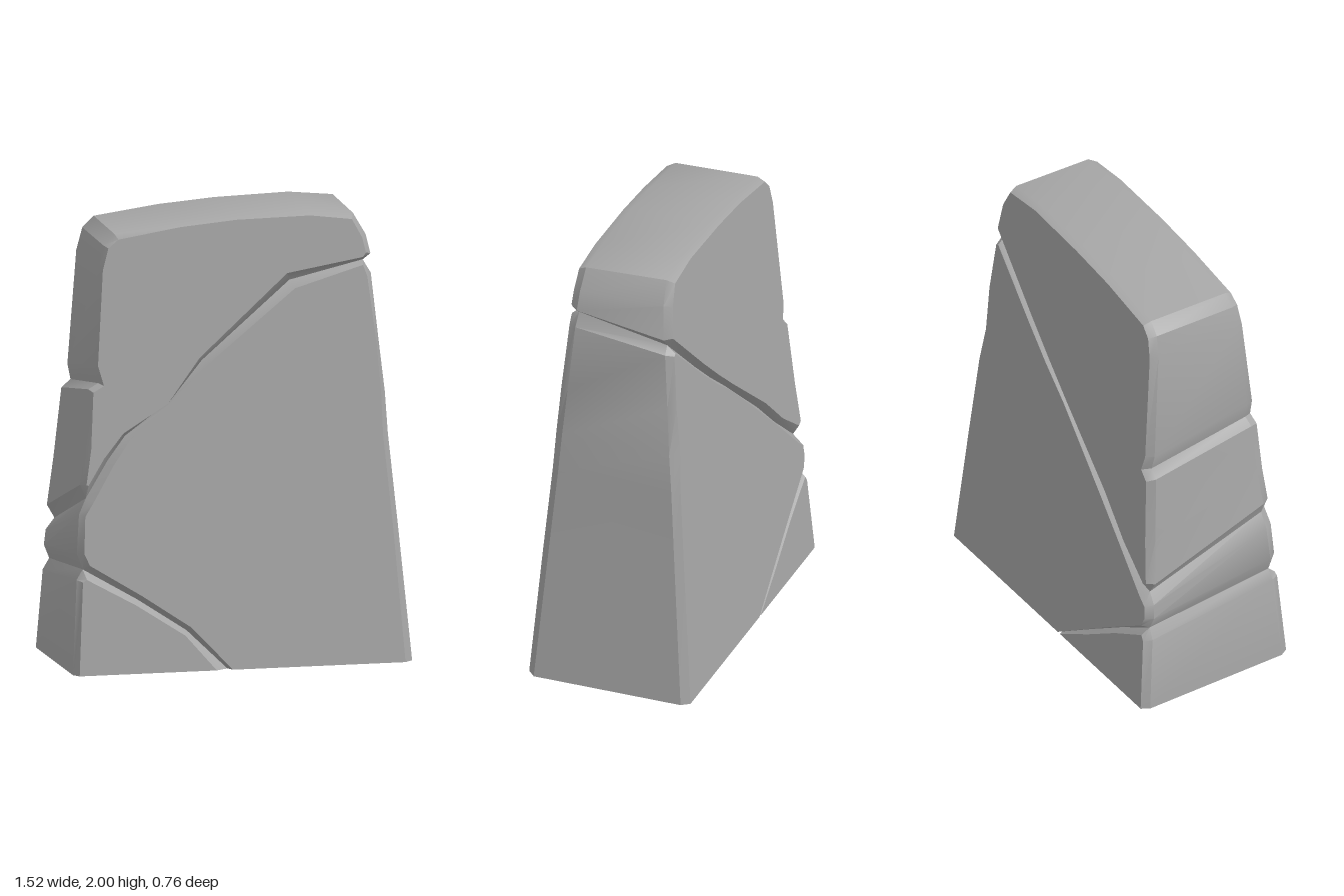
import * as THREE from 'three';
import { toCreasedNormals } from 'three/addons/utils/BufferGeometryUtils.js';

const stone = new THREE.MeshStandardMaterial({ color: 0xa6a6a6 });
stone.name = 'grey stone';

const DEPTH = 0.036; // how far the bevels sink in
const faceZ = (y) => 0.38 - 0.079 * y; // leaning front and back faces

// Moves each [x, y, width] corner inwards by its own bevel width
function inset(points) {
  const n = points.length;
  return points.map(([x, y, w], i) => {
    const a = points[(i + n - 1) % n], b = points[(i + 1) % n];
    const d1 = new THREE.Vector2(x - a[0], y - a[1]).normalize();
    const d2 = new THREE.Vector2(b[0] - x, b[1] - y).normalize();
    const n1 = new THREE.Vector2(-d1.y, d1.x), n2 = new THREE.Vector2(-d2.y, d2.x);
    const k = w / Math.max(1 + n1.dot(n2), 0.5);
    return [x + (n1.x + n2.x) * k, y < 0.001 ? 0 : y + (n1.y + n2.y) * k];
  });
}

// A bevelled block between a front and a back outline of equal count
function shard(name, front, back) {
  const n = front.length;
  const place = (pts, z) => pts.map(([x, y]) => new THREE.Vector3(x, y, z(y)));
  const rings = [
    place(inset(front), faceZ),
    place(front, (y) => faceZ(y) - DEPTH),
    place(back, (y) => DEPTH - faceZ(y)),
    place(inset(back), (y) => -faceZ(y)),
  ];
  const out = [];
  const tri = (a, b, c) => [a, b, c].forEach((p) => out.push(p.x, p.y, p.z));
  for (let r = 0; r < 3; r++) {
    for (let i = 0; i < n; i++) {
      const j = (i + 1) % n, p = rings[r], q = rings[r + 1];
      tri(p[i], q[i], q[j]);
      tri(p[i], q[j], p[j]);
    }
  }
  const flat = (ring) => ring.map((p) => new THREE.Vector2(p.x, p.y));
  for (const [a, b, c] of THREE.ShapeUtils.triangulateShape(flat(rings[0]), [])) {
    tri(rings[0][a], rings[0][b], rings[0][c]);
  }
  for (const [a, b, c] of THREE.ShapeUtils.triangulateShape(flat(rings[3]), [])) {
    tri(rings[3][a], rings[3][c], rings[3][b]);
  }
  const geometry = new THREE.BufferGeometry();
  geometry.setAttribute('position', new THREE.Float32BufferAttribute(out, 3));
  const mesh = new THREE.Mesh(toCreasedNormals(geometry, 0.5), stone);
  mesh.name = name;
  return mesh;
}

// Same path with another bevel width
const scaled = (path, s) => path.map(([x, y, w]) => [x, y, w * s]);
const reversed = (path) => [...path].reverse();

export function createModel() {
  const group = new THREE.Group();
  group.name = 'crackedStone';

  // Long diagonal crack, from the -x edge to the +x edge
  const crackFront = [
    [-0.69, 0.77, 0.03], [-0.59, 0.93, 0.025], [-0.51, 1.035, 0.02], [-0.32, 1.17, 0.004],
    [-0.16, 1.35, 0.022], [0.24, 1.685, 0.035], [0.57, 1.76, 0.016],
  ];
  const crackBack = [
    [-0.69, 0.58, 0.035], [-0.5, 0.74, 0.022], [-0.33, 0.9, 0.025], [0, 1.18, 0.015],
    [0.15, 1.3, 0.02], [0.3, 1.43, 0.022], [0.58, 1.685, 0.025],
  ];
  // Short crack across the foot
  const footFront = [[-0.71, 0.46, 0.03], [-0.47, 0.32, 0.024], [-0.25, 0.175, 0.022], [-0.07, 0, 0.04]];
  const footBack = [[-0.71, 0.4, 0.022], [-0.5, 0.27, 0.014], [-0.3, 0.135, 0.012], [-0.09, 0, 0.012]];

  // Upper block, with a small notch on the -x edge
  group.add(shard('upperBlock', [
    ...scaled(crackFront, 1.1),
    [0.605, 1.785, 0.025], [0.585, 1.87, 0.025], [0.53, 1.965, 0.022],
    [0.33, 1.983, 0.015], [0, 1.975, 0.012], [-0.25, 1.957, 0.015], [-0.54, 1.918, 0.02],
    [-0.59, 1.87, 0.015], [-0.615, 1.77, 0.012], [-0.645, 1.35, 0.012],
    [-0.625, 1.27, 0.015], [-0.67, 1.245, 0.015], [-0.69, 0.99, 0.02], [-0.715, 0.83, 0.02],
  ], [
    ...crackBack,
    [0.613, 1.725, 0.02], [0.585, 1.88, 0.02], [0.53, 1.98, 0.015],
    [0.33, 2, 0.01], [0, 1.99, 0.01], [-0.25, 1.97, 0.01], [-0.54, 1.93, 0.015],
    [-0.59, 1.88, 0.015], [-0.615, 1.78, 0.015], [-0.645, 1.27, 0.02],
    [-0.63, 1.2, 0.025], [-0.67, 1.165, 0.025], [-0.7, 0.85, 0.025], [-0.725, 0.64, 0.02],
  ]));

  // Large middle block standing on the ground
  group.add(shard('mainBlock', [
    [0.758, 0, 0.035], [0.705, 0.6, 0.03], [0.668, 1, 0.03], [0.658, 1.18, 0.025],
    [0.635, 1.4, 0.018], [0.605, 1.7, 0.025], ...reversed(crackFront),
    [-0.722, 0.7, 0.02], [-0.735, 0.53, 0.025], ...footFront,
  ], [
    [0.758, 0, 0.025], [0.705, 0.6, 0.022], [0.668, 1, 0.02], [0.658, 1.18, 0.04],
    [0.635, 1.4, 0.018], [0.612, 1.65, 0.02], ...reversed(crackBack),
    [-0.728, 0.53, 0.02], [-0.735, 0.46, 0.02], ...footBack,
  ]));

  // Small wedge at the foot
  group.add(shard('footWedge',
    [[-0.762, 0, 0.02], ...reversed(footFront), [-0.738, 0.415, 0.02]],
    [[-0.762, 0, 0.02], ...reversed(footBack), [-0.738, 0.35, 0.02]],
  ));
  return group;
}
